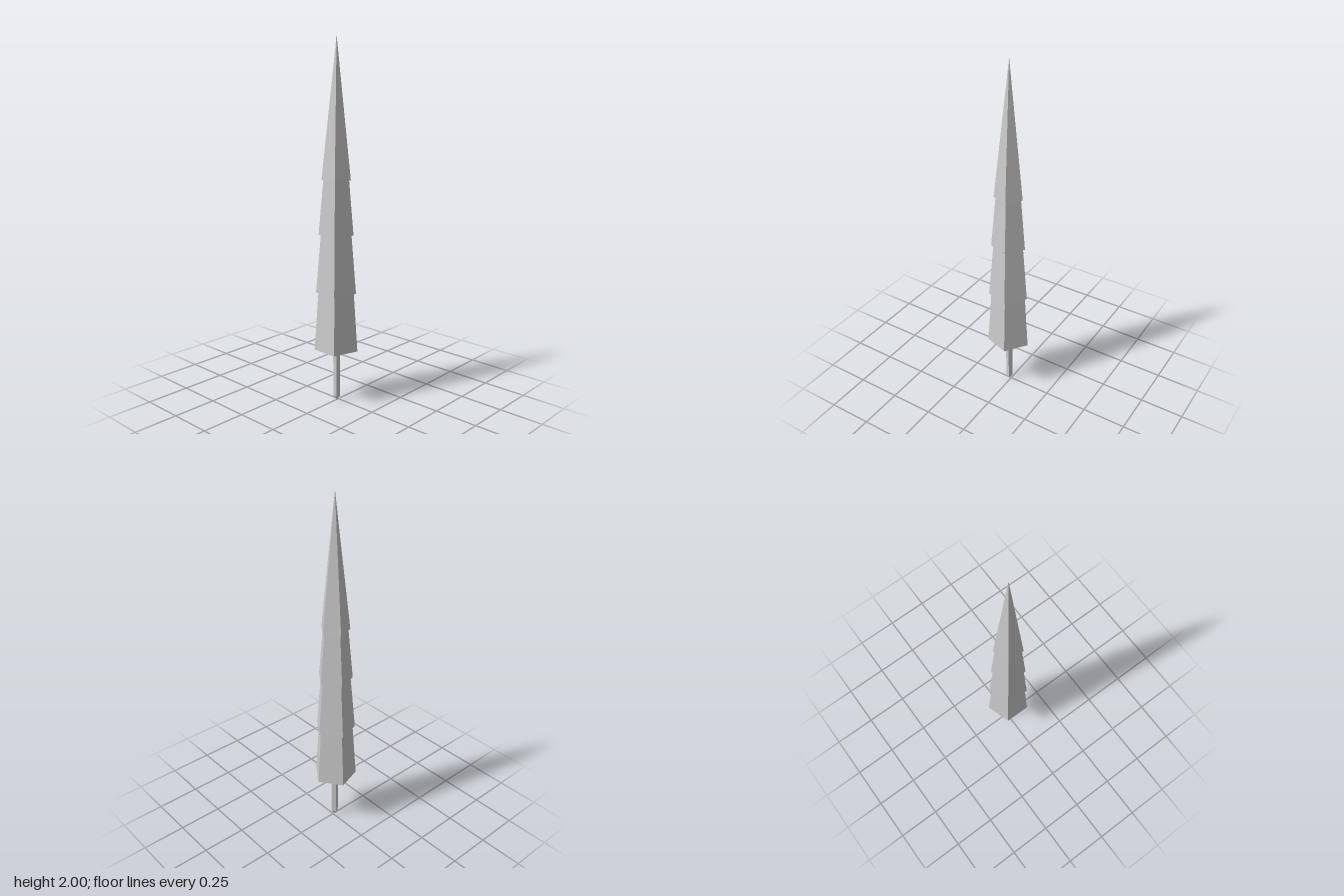
import * as THREE from 'three';

const SIDES = 5;
const material = new THREE.MeshStandardMaterial({ color: 0xcccccc, flatShading: true });

// Five-sided frustum between two heights, one corner pointing to the back
function frustum(name, bottomY, topY, bottomRadius, topRadius, openEnded = false) {
  const geometry = new THREE.CylinderGeometry(
    topRadius, bottomRadius, topY - bottomY, SIDES, 1, openEnded, Math.PI);
  const mesh = new THREE.Mesh(geometry, material);
  mesh.name = name;
  mesh.position.y = (bottomY + topY) / 2;
  return mesh;
}

export function createModel() {
  const tree = new THREE.Group();
  tree.name = 'tree';

  // Slim trunk with a pointed foot
  const trunk = new THREE.Group();
  trunk.name = 'trunk';
  trunk.add(frustum('trunkShaft', 0.025, 0.32, 0.02, 0.02, true));
  trunk.add(frustum('trunkPoint', 0, 0.025, 0, 0.02, true));
  tree.add(trunk);

  // Stacked foliage tiers, each overhanging the one below: [bottomY, topY, bottomRadius, topRadius]
  const tiers = [
    [0.308, 0.637, 0.125, 0.102],
    [0.637, 0.96, 0.115, 0.087],
    [0.96, 1.257, 0.099, 0.072],
    [1.257, 2, 0.082, 0],
  ];
  const foliage = new THREE.Group();
  foliage.name = 'foliage';
  tiers.forEach((tier, i) => foliage.add(frustum(`foliageTier${i + 1}`, ...tier)));
  tree.add(foliage);

  // A pentagon's middle sits slightly ahead of its axis
  tree.position.z = 0.012;
  const model = new THREE.Group();
  model.name = 'coniferTree';
  model.add(tree);
  return model;
}
